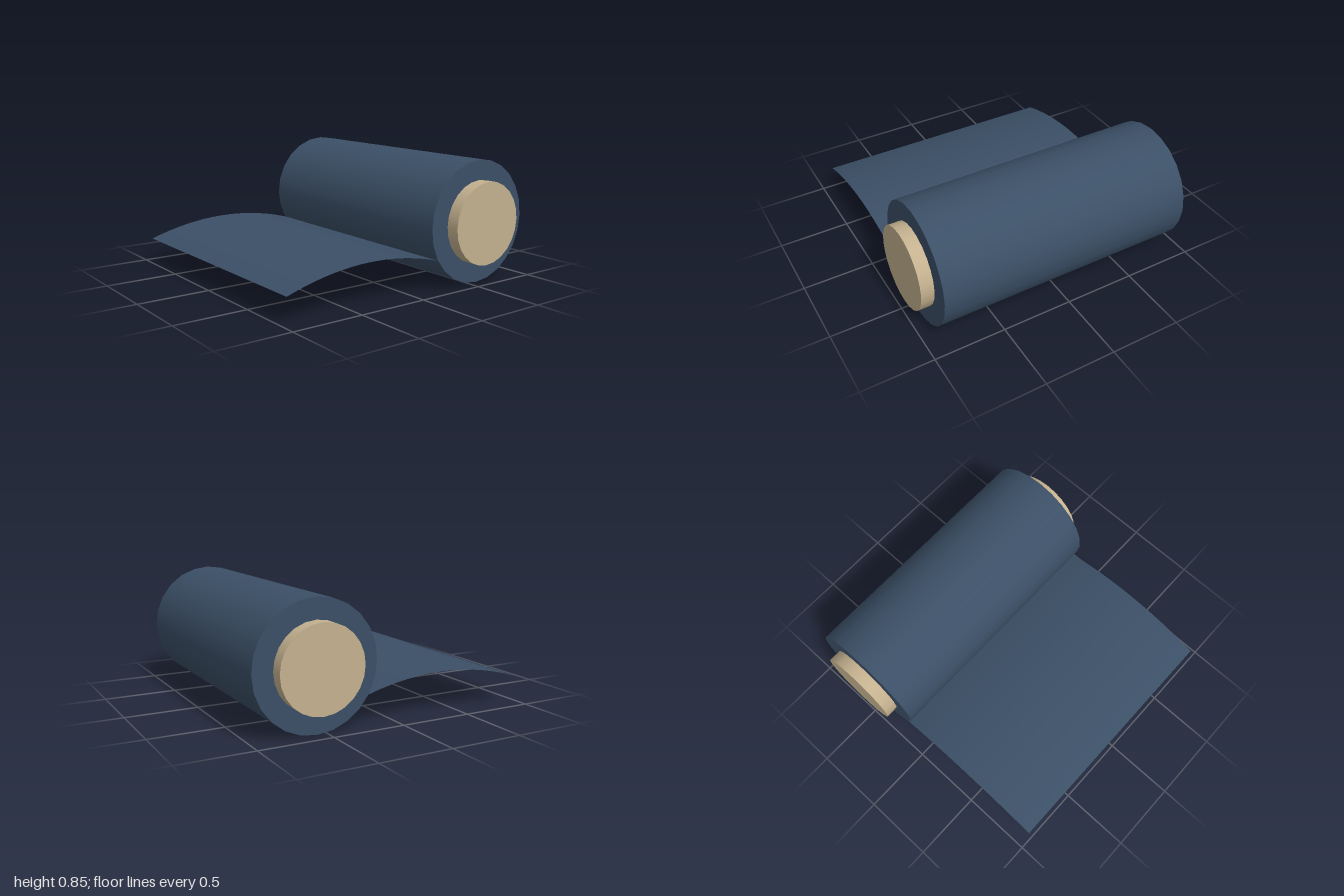
import * as THREE from 'three';

const R = 0.4225, WIDTH = 1.82, ROLL_Z = -0.57;

export function createModel() {
  const group = new THREE.Group();
  const fabric = new THREE.MeshStandardMaterial({ color: 0x3b4f66 });
  const sheetFabric = new THREE.MeshStandardMaterial({ color: 0x3b4f66, side: THREE.DoubleSide });
  const card = new THREE.MeshStandardMaterial({ color: 0xc4b18f });

  // Horizontal cylinder lying along x
  const addCylinder = (name, radius, length, material) => {
    const geometry = new THREE.CylinderGeometry(radius, radius, length, 24);
    geometry.rotateZ(Math.PI / 2);
    const mesh = new THREE.Mesh(geometry, material);
    mesh.name = name;
    mesh.position.set(0, R, ROLL_Z);
    group.add(mesh);
  };
  addCylinder('roll', R, WIDTH, fabric);
  addCylinder('core', 0.285, 2, card);

  // Unrolled sheet: leaves the roll, arches up and droops to its free edge
  const zStart = -0.21, zEnd = 0.98;
  const sheetGeometry = new THREE.PlaneGeometry(WIDTH, zEnd - zStart, 1, 20);
  sheetGeometry.rotateX(-Math.PI / 2);
  sheetGeometry.translate(0, 0, (zStart + zEnd) / 2);
  const position = sheetGeometry.attributes.position;
  for (let i = 0; i < position.count; i++) {
    position.setY(i, 0.287 - 0.267 * (position.getZ(i) - 0.347) ** 2);
  }
  sheetGeometry.computeVertexNormals();
  const sheet = new THREE.Mesh(sheetGeometry, sheetFabric);
  sheet.name = 'sheet';
  group.add(sheet);

  return group;
}
